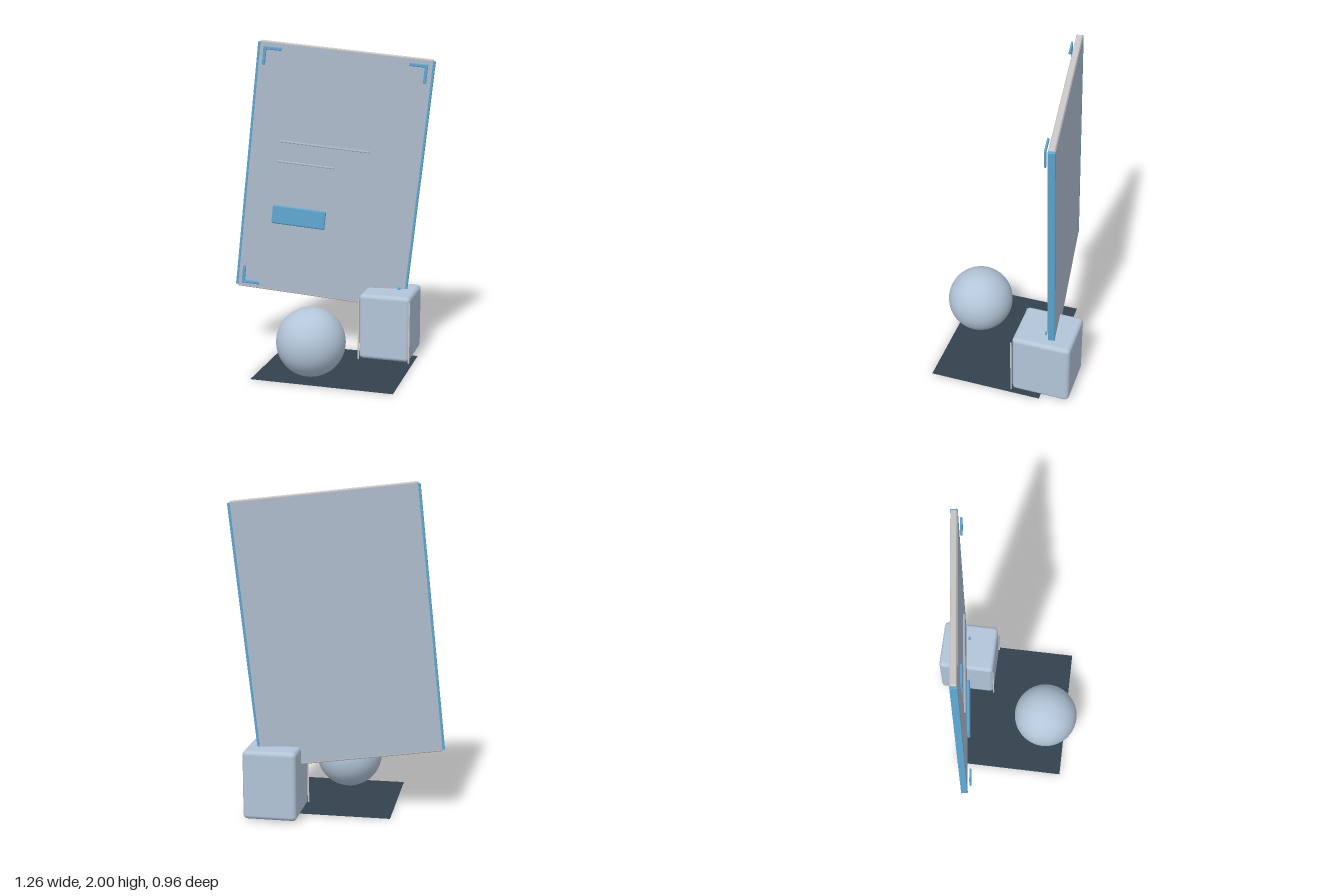
import * as THREE from 'three';
import { RoundedBoxGeometry } from 'three/addons/geometries/RoundedBoxGeometry.js';

const mat = (name, color) => new THREE.MeshStandardMaterial({ name, color });

export function createModel() {
  const paleBlue = mat('paleBlue', 0xb3c5d8);
  const panelGrey = mat('panelGrey', 0xafbdce);
  const warmGrey = mat('warmGrey', 0xcac8c6);
  const skyBlue = mat('skyBlue', 0x5fa8d3);
  const slate = mat('slate', 0x33424f);
  slate.side = THREE.DoubleSide;

  const model = new THREE.Group();
  model.name = 'displayScene';

  const add = (parent, name, geometry, material, x, y, z) => {
    const mesh = new THREE.Mesh(geometry, material);
    mesh.name = name;
    mesh.position.set(x, y, z);
    parent.add(mesh);
    return mesh;
  };
  const block = (w, h, d, r = 0) =>
    r ? new RoundedBoxGeometry(w, h, d, 3, r) : new THREE.BoxGeometry(w, h, d);

  // Flat floor sheet
  add(model, 'floor', new THREE.PlaneGeometry(0.88, 0.71), slate, 0.12, 0, 0.055).rotation.x = -Math.PI / 2;

  // Ball in front
  add(model, 'ball', new THREE.SphereGeometry(0.21, 48, 32), paleBlue, 0.02, 0.225, 0.27);

  // Soft-edged block with thin rods along its front corners
  add(model, 'block', block(0.325, 0.42, 0.365, 0.026), paleBlue, 0.378, 0.22, -0.298);
  for (const x of [0.216, 0.54]) {
    add(model, 'blockRod', block(0.008, 0.39, 0.008), warmGrey, x, 0.205, -0.113);
  }

  // Tilted panel: everything below is in its own frame
  const panel = new THREE.Group();
  panel.name = 'panel';
  panel.position.set(-0.003, 1.147, -0.28);
  panel.rotation.set(0, 0.14, -0.105);
  model.add(panel);

  add(panel, 'panelCore', block(1.086, 1.6, 0.036, 0.008), warmGrey, 0, 0, 0);
  for (const s of [-1, 1]) {
    add(panel, s > 0 ? 'frontFace' : 'backFace', block(1.084, 1.578, 0.004), panelGrey, 0, 0, s * 0.018);
    add(panel, 'sideStrip', block(0.016, 1.578, 0.043, 0.004), skyBlue, s * 0.548, 0, 0);
  }

  // Corner brackets floating before the panel
  for (const sx of [-1, 1]) {
    for (const sy of [-1, 1]) {
      const bracket = new THREE.Group();
      bracket.name = 'cornerBracket';
      bracket.position.set(sx * 0.515, sy * 0.767, 0.04);
      panel.add(bracket);
      add(bracket, 'bracketArm', block(0.115, 0.02, 0.012, 0.005), skyBlue, -sx * 0.0575, -sy * 0.01, 0);
      add(bracket, 'bracketLeg', block(0.02, 0.115, 0.012, 0.005), skyBlue, -sx * 0.01, -sy * 0.0575, 0);
    }
  }

  // Two slim bars and a button
  add(panel, 'longBar', block(0.58, 0.012, 0.01, 0.004), panelGrey, -0.07, 0.184, 0.034);
  add(panel, 'shortBar', block(0.37, 0.012, 0.01, 0.004), panelGrey, -0.179, 0.055, 0.034);
  add(panel, 'button', block(0.345, 0.12, 0.02, 0.009), skyBlue, -0.185, -0.286, 0.044);

  return model;
}
